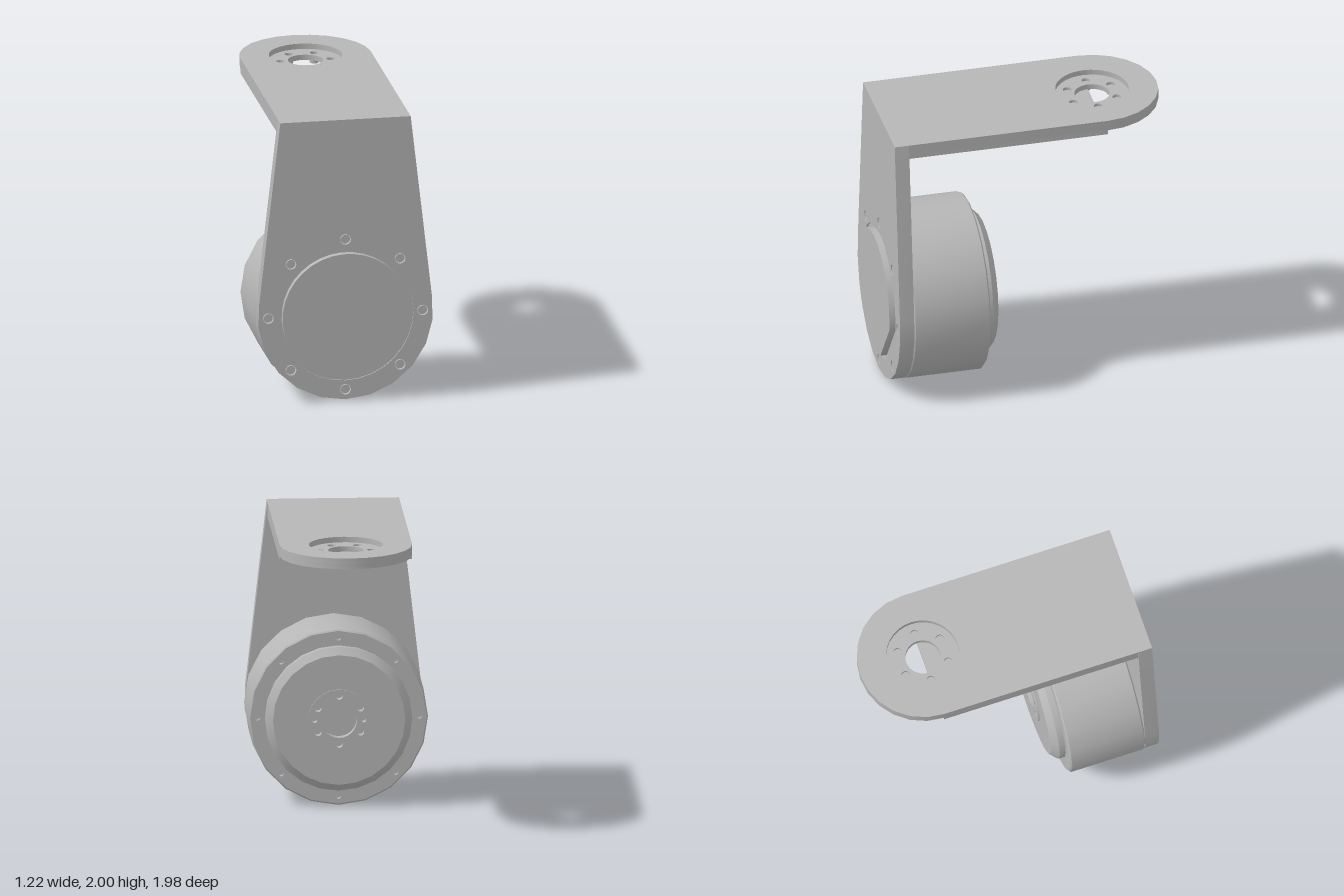
import * as THREE from 'three';
import { toCreasedNormals } from 'three/addons/utils/BufferGeometryUtils.js';

const AXIS_Y = 0.615; // height of the motor axis
const ARM_Z = -0.54; // centre of the mounting eye on the arm

// Points along an arc, angles in degrees
function arc(r, from, to, n, cx = 0, cy = 0) {
  return Array.from({ length: n + 1 }, (_, i) => {
    const a = THREE.MathUtils.degToRad(from + ((to - from) * i) / n);
    return new THREE.Vector2(cx + r * Math.cos(a), cy + r * Math.sin(a));
  });
}
const circle = (r, n, cx, cy) => arc(r, 0, 360, n, cx, cy).slice(0, n);

// Circles spaced evenly on a bolt circle
function boltCentres(count, r, start = 0, cx = 0, cy = 0) {
  return circle(r, count).map((p) => p.rotateAround(new THREE.Vector2(), THREE.MathUtils.degToRad(start)).add(new THREE.Vector2(cx, cy)));
}

function extrude(outline, holes, depth) {
  const shape = new THREE.Shape(outline);
  shape.holes = holes.map((h) => new THREE.Path(h));
  return toCreasedNormals(new THREE.ExtrudeGeometry(shape, { depth, bevelEnabled: false }), 0.6);
}

// Turned part around the z axis; profile is [radius, z] with z ascending on the outside
function turned(profile, segments) {
  const g = new THREE.LatheGeometry(profile.map(([r, z]) => new THREE.Vector2(r, z)), segments);
  g.rotateX(Math.PI / 2);
  return toCreasedNormals(g, 0.6);
}

export function createModel() {
  const model = new THREE.Group();
  const grey = new THREE.MeshStandardMaterial({ color: 0xb6b6b6 });
  grey.name = 'grey metal';

  function add(name, geometry, x = 0, y = 0, z = 0, parent = model) {
    const mesh = new THREE.Mesh(geometry, grey);
    mesh.name = name;
    mesh.position.set(x, y, z);
    parent.add(mesh);
    return mesh;
  }

  // Front plate: tapered top, round bottom, central opening and screw holes
  const plateBolts = boltCentres(8, 0.533, 0, 0, AXIS_Y);
  const plateOutline = [
    new THREE.Vector2(0.45, 2),
    new THREE.Vector2(-0.45, 2),
    ...arc(0.605, 170, 370, 12, 0, AXIS_Y),
  ];
  add('frontPlate', extrude(plateOutline, [
    circle(0.47, 32, 0, AXIS_Y),
    ...plateBolts.map((p) => circle(0.038, 14, p.x, p.y)),
  ], 0.1), 0, 0, 0.85);
  const screw = new THREE.CylinderGeometry(0.031, 0.031, 0.09, 14).rotateX(Math.PI / 2);
  plateBolts.forEach((p) => add('frontScrew', screw, p.x, p.y, 0.9));

  // Front cap with one flat, seated in a shallow recess
  add('capSeat', turned([[0.47, 0.85], [0.47, 0.94], [0, 0.94]], 32), 0, AXIS_Y, 0);
  add('frontCap', extrude(arc(0.44, -8, 295, 30), [], 0.135), 0, AXIS_Y, 0.85);

  // Motor housing
  const motor = new THREE.Group();
  motor.name = 'motor';
  motor.position.y = AXIS_Y;
  model.add(motor);
  add('housing', turned([
    [0, 0.35], [0.59, 0.35], [0.59, 0.315], [0.6, 0.315], [0.61, 0.325],
    [0.61, 0.84], [0.6, 0.85], [0, 0.85],
  ], 20), 0, 0, 0, motor);

  // Rear rim with small screw holes
  add('rearRim', extrude(circle(0.59, 20), [
    circle(0.49, 24),
    ...boltCentres(8, 0.55).map((p) => circle(0.017, 10, p.x, p.y)),
  ], 0.035), 0, 0, 0.315, motor);

  // Chamfered rear cover with a seat for the hub
  add('rearCover', turned([
    [0, 0.275], [0.21, 0.275], [0.21, 0.225], [0.45, 0.225], [0.5, 0.272], [0.5, 0.355],
  ], 24), 0, 0, 0, motor);

  // Output hub: bore, six screw holes and two pin holes
  add('outputHub', extrude(circle(0.213, 24), [
    circle(0.122, 24),
    ...boltCentres(6, 0.167, 30).map((p) => circle(0.025, 12, p.x, p.y)),
    ...boltCentres(2, 0.167).map((p) => circle(0.017, 10, p.x, p.y)),
  ], 0.06), 0, 0, 0.216, motor);

  // Arm: two layers form the recessed eye, a thicker slab runs below the straight part
  const armOutline = [
    new THREE.Vector2(0.45, 0.85),
    new THREE.Vector2(-0.45, 0.85),
    ...arc(0.45, 180, 360, 12, 0, ARM_Z),
  ];
  const studs = boltCentres(6, 0.175, 0, 0, ARM_Z);
  add('armTop', extrude(armOutline, [circle(0.25, 32, 0, ARM_Z)], 0.038).rotateX(Math.PI / 2), 0, 2, 0);
  add('armFloor', extrude(armOutline, [
    circle(0.12, 28, 0, ARM_Z),
    ...studs.map((p) => circle(0.03, 14, p.x, p.y)),
  ], 0.037).rotateX(Math.PI / 2), 0, 1.962, 0);
  add('armSlab', new THREE.BoxGeometry(0.9, 0.03, 0.85 - ARM_Z), 0, 1.91, (0.85 + ARM_Z) / 2);

  // Studs through the eye
  const stud = new THREE.CylinderGeometry(0.03, 0.03, 0.048, 14);
  studs.forEach((p) => add('armStud', stud, p.x, 1.918, p.y));

  return model;
}
